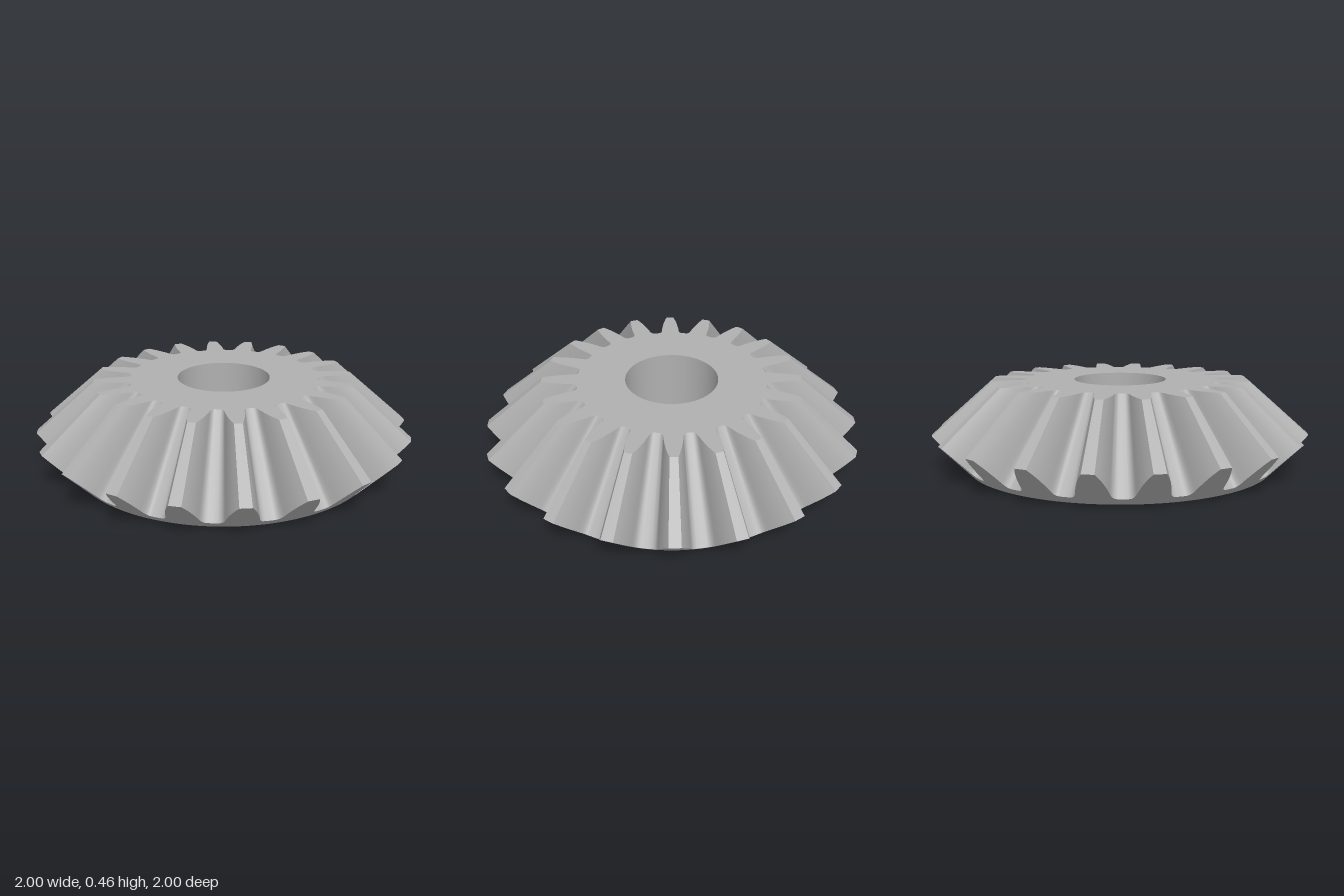
import * as THREE from 'three';
import { toCreasedNormals } from 'three/addons/utils/BufferGeometryUtils.js';

const TEETH = 20, APEX = 1.065, TOP = 0.46, BORE = 0.245, BASE = 0.817;

// Half tooth on the back cone: [height, half width], from root to tip
const HALF = [
  [0.035, 0.11], [0.038, 0.096], [0.046, 0.086], [0.06, 0.08], [0.08, 0.076],
  [0.105, 0.069], [0.13, 0.06], [0.15, 0.051], [0.168, 0.041], [0.185, 0.03],
];
const backRadius = (y) => BASE + (y / 0.185) * (1 - BASE);

// Outline of all teeth as { a: angle, r: radius, y: height }
function toothOutline() {
  const pitch = (Math.PI * 2) / TEETH;
  const half = HALF.map(([y, w]) => ({ a: w / backRadius(y), r: backRadius(y), y }));
  const root = { a: -pitch / 2, r: backRadius(0.035), y: 0.035 };
  const tip = { a: 0, r: 1, y: 0.185 };
  const tooth = [root, ...half.map((p) => ({ ...p, a: -p.a })), tip, ...[...half].reverse()];
  const points = [];
  for (let i = 0; i < TEETH; i++) {
    for (const p of tooth) points.push({ ...p, a: p.a + i * pitch });
  }
  return points;
}

// Closed band of quads between two rings
function band(lower, upper) {
  const pos = [];
  const put = (p) => pos.push(p.r * Math.sin(p.a), p.y, p.r * Math.cos(p.a));
  lower.forEach((p, i) => {
    const j = (i + 1) % lower.length;
    [p, lower[j], upper[j], p, upper[j], upper[i]].forEach(put);
  });
  const geometry = new THREE.BufferGeometry();
  geometry.setAttribute('position', new THREE.Float32BufferAttribute(pos, 3));
  return toCreasedNormals(geometry, 0.7);
}

export function createModel() {
  const group = new THREE.Group();
  group.name = 'bevelGear';
  const steel = new THREE.MeshStandardMaterial({ color: 0xb0b0b0 });
  steel.name = 'grey steel';

  // Cross-section rings, sharing the same angles
  const rim = toothOutline();
  const circle = (r, y) => rim.map(({ a }) => ({ a, r, y }));
  const base = circle(BASE, 0);
  const boreBottom = circle(BORE, 0);
  const boreTop = circle(BORE, TOP);
  // Teeth taper toward the cone apex and are cut by the top plane
  const crown = rim.map(({ a, r, y }) => ({ a, r: (r * (APEX - TOP)) / (APEX - y), y: TOP }));

  const parts = {
    bottomFace: [boreBottom, base],
    backCone: [base, rim],
    teeth: [rim, crown],
    topFace: [crown, boreTop],
    shaftBore: [boreTop, boreBottom],
  };
  for (const [name, [lower, upper]] of Object.entries(parts)) {
    const mesh = new THREE.Mesh(band(lower, upper), steel);
    mesh.name = name;
    group.add(mesh);
  }
  return group;
}
